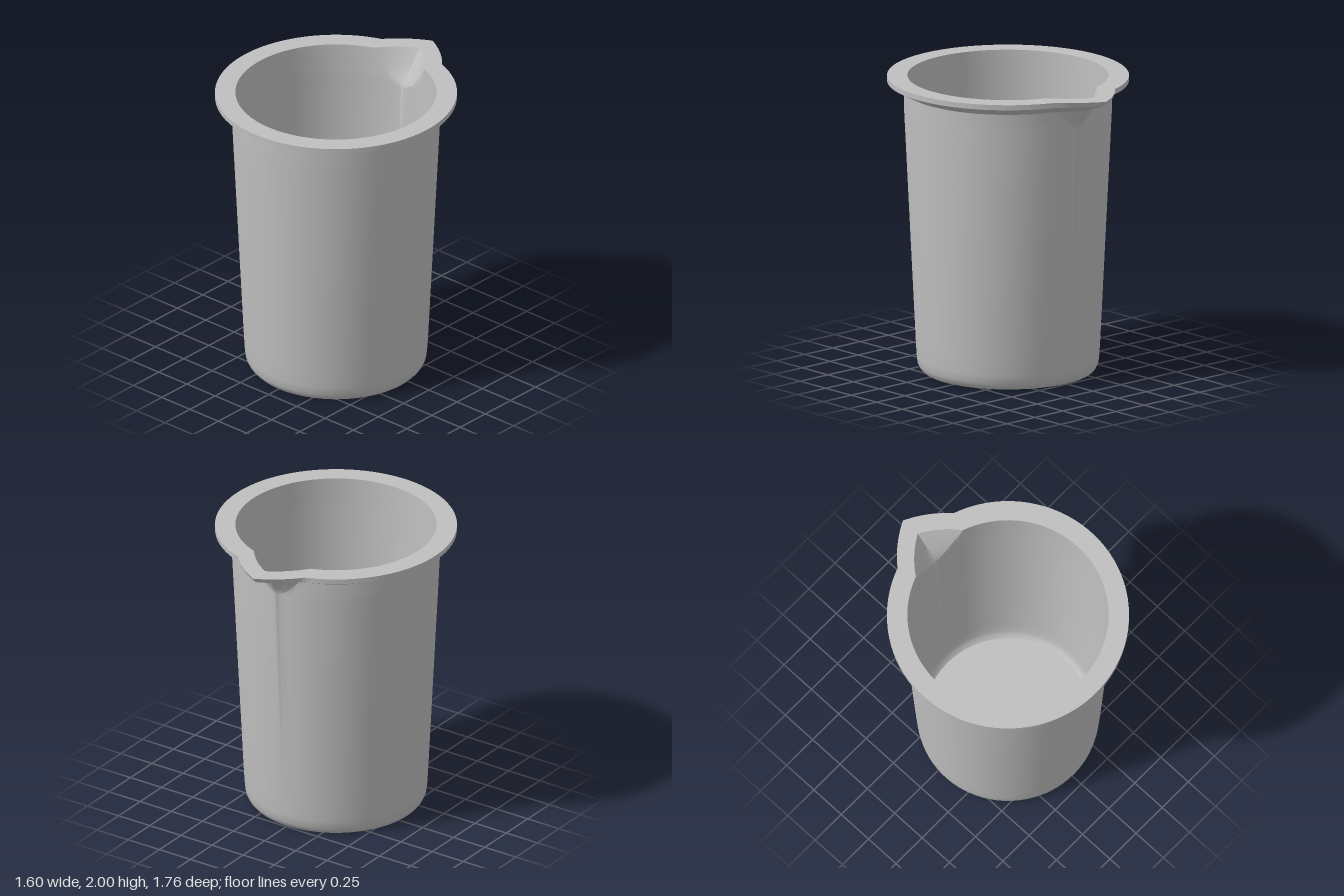
import * as THREE from 'three';
import { toCreasedNormals } from 'three/addons/utils/BufferGeometryUtils.js';

const CENTRE_Z = 0.08;
const SPOUT_STEPS = 12; // columns on each side of the spout tip
const BODY_STEPS = 80; // columns round the rest of the cup

// One ring of the cup: a circle with a pointed spout towards -z.
// Row: [radius, height, spout depth, spout half angle]
function ring([radius, y, depth = 0, half = 0.03]) {
  const points = [];
  const add = (t, r) => points.push(new THREE.Vector3(r * Math.sin(t), y, CENTRE_Z - r * Math.cos(t)));
  for (let i = -SPOUT_STEPS; i < SPOUT_STEPS; i++) {
    const u = i / SPOUT_STEPS;
    add(u * half, radius + depth * (1 - Math.abs(u)));
  }
  for (let i = 0; i < BODY_STEPS; i++) {
    add(half + (i / BODY_STEPS) * 2 * (Math.PI - half), radius);
  }
  return points;
}

// Skin consecutive rings; a row of radius 0 closes the surface
function skin(name, rows, material) {
  const rings = rows.map(ring);
  const positions = [];
  const tri = (...pts) => pts.forEach((p) => positions.push(p.x, p.y, p.z));
  for (let j = 0; j < rings.length - 1; j++) {
    const low = rings[j], high = rings[j + 1];
    for (let i = 0; i < low.length; i++) {
      const k = (i + 1) % low.length;
      if (rows[j + 1][0] > 0) tri(low[i], high[i], high[k]);
      if (rows[j][0] > 0) tri(low[i], high[k], low[k]);
    }
  }
  const geometry = new THREE.BufferGeometry();
  geometry.setAttribute('position', new THREE.Float32BufferAttribute(positions, 3));
  const mesh = new THREE.Mesh(toCreasedNormals(geometry, 0.6), material);
  mesh.name = name;
  return mesh;
}

export function createModel() {
  const group = new THREE.Group();
  group.name = 'beaker';
  const grey = new THREE.MeshStandardMaterial({ color: 0xbfbfbf });
  grey.name = 'grey';

  // Flat underside, rounded foot, tapered wall and the outside of the spout
  group.add(skin('outerWall', [
    [0, 0], [0.568, 0], [0.585, 0.018], [0.598, 0.045], [0.604, 0.1], [0.61, 0.2],
    [0.687, 1.77], [0.687, 1.83, 0.037, 0.15], [0.687, 1.905, 0.082, 0.25],
  ], grey));

  // Flange: sloping underside, thin edge and flat top
  group.add(skin('rim', [
    [0.687, 1.905, 0.082, 0.25], [0.8, 1.965, 0.135, 0.32],
    [0.8, 2, 0.16, 0.341], [0.665, 2, 0.16, 0.347],
  ], grey));

  // Inside of the spout, inner wall and floor
  group.add(skin('innerWall', [
    [0.665, 2, 0.16, 0.347], [0.662, 1.905, 0.095, 0.26], [0.66, 1.83, 0.042, 0.17],
    [0.658, 1.77], [0.588, 0.2], [0.58, 0.1], [0.57, 0.06], [0.55, 0.035], [0, 0.035],
  ], grey));

  return group;
}
